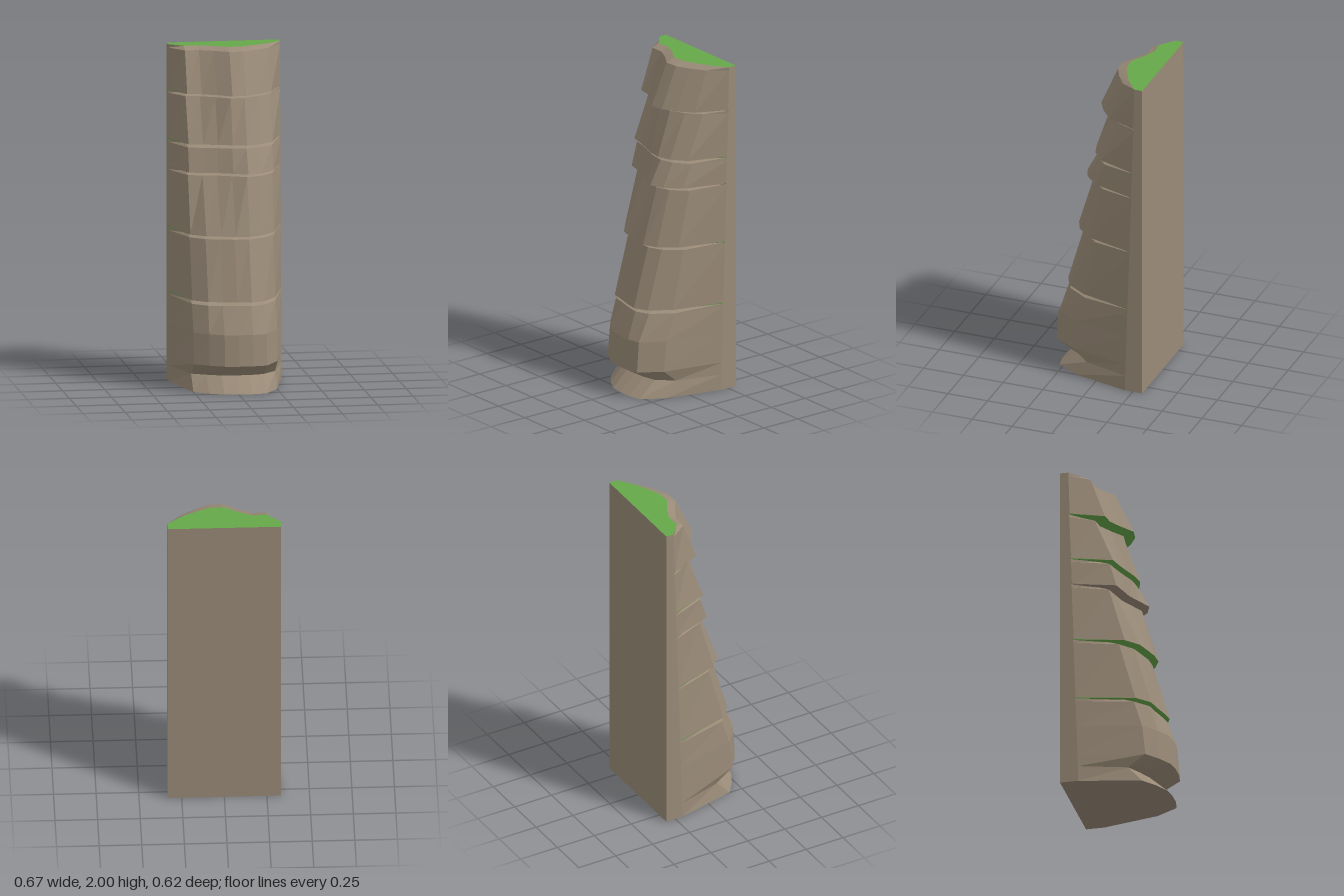
import * as THREE from 'three';

const HALF = 1 / 3, BACK = -0.31;
const rock = new THREE.MeshStandardMaterial({ color: 0x9a8b78 });
const grass = new THREE.MeshStandardMaterial({ color: 0x66a84a });
rock.name = 'rock';
grass.name = 'grass';
rock.flatShading = grass.flatShading = true;

// Front depth of the seven inner columns at the lower lip of each rock layer
const lips = [
  { y: 1.735, z: [-0.06, -0.047, 0, 0.055, 0.045, 0, -0.07], gap: 0.06, under: 'grass' },
  { y: 1.445, z: [-0.01, 0.01, 0.035, 0.063, 0.075, 0.05, -0.02], gap: 0.02, under: 'grass' },
  { y: 1.28, z: [0.01, 0.03, 0.05, 0.09, 0.13, 0.1, 0.015], gap: 0.045, under: 'rock' },
  { y: 0.92, z: [0.06, 0.132, 0.157, 0.18, 0.185, 0.147, 0.05], gap: 0.035, under: 'grass' },
  { y: 0.54, z: [0.125, 0.2, 0.217, 0.238, 0.253, 0.215, 0.09], gap: 0.01, under: 'grass' },
];
const crown = [-0.146, -0.146, -0.108, -0.055, -0.06, -0.1, -0.155];
const crownInset = [-0.19, -0.195, -0.16, -0.112, -0.116, -0.152, -0.195];
const foot = [0.185, 0.25, 0.297, 0.31, 0.31, 0.295, 0.16];
const groove = [0.08, 0.13, 0.17, 0.18, 0.18, 0.16, 0.07];

// A full row of nine points across the front; the end columns lean slightly
function row(y, z, shift = 0) {
  const edge = -0.2 - 0.03 * y - shift * 0.05;
  return [edge, ...z.map((v) => v - shift), edge]
    .map((v, i) => new THREE.Vector3(-HALF + (i * HALF) / 4, y, v));
}

// Collects quads and triangles into a flat-shaded mesh
function meshOf(name, triangles, material) {
  const geometry = new THREE.BufferGeometry().setFromPoints(triangles);
  geometry.computeVertexNormals();
  const mesh = new THREE.Mesh(geometry, material);
  mesh.name = name;
  return mesh;
}

function band(upper, lower) {
  const out = [];
  for (let i = 0; i < upper.length - 1; i++) {
    out.push(lower[i], lower[i + 1], upper[i + 1], lower[i], upper[i + 1], upper[i]);
  }
  return out;
}

// Flat cap between a front row and the straight back edge
function cap(points, up) {
  const back = points.map((p) => new THREE.Vector3(p.x, p.y, BACK));
  return up ? band(back, points) : band(points, back);
}

export function createModel() {
  const model = new THREE.Group();
  model.name = 'cliff';
  const top = row(2, crownInset);
  const rows = [{ p: top }, { p: row(1.98, crown) }];

  // Stacked layers: lip, narrow recessed gap, then the next bevelled shoulder
  for (const { y, z, gap, under } of lips) {
    rows.push({ p: row(y, z) });
    rows.push({ p: row(y - 0.005, z, gap + 0.055), under });
    rows.push({ p: row(y - 0.023, z, gap) });
  }

  // Foot of the cliff with an undercut groove
  const brow = foot.map((v, i) => v - (i === 0 || i === 6 ? 0.02 : 0.014));
  rows.push({ p: row(0.355, brow) }, { p: row(0.17, foot) });
  rows.push({ p: row(0.095, groove) });
  const base = row(0, foot, 0.02);
  rows.push({ p: base });

  const rockFace = [], undersides = [], flanks = [];
  for (let i = 0; i < rows.length - 1; i++) {
    const a = rows[i].p, b = rows[i + 1].p;
    (rows[i + 1].under === 'grass' ? undersides : rockFace).push(...band(a, b));
    // Side walls run from the end columns to the back plane
    for (const k of [0, 8]) {
      const ab = new THREE.Vector3(a[k].x, a[k].y, BACK);
      const bb = new THREE.Vector3(b[k].x, b[k].y, BACK);
      flanks.push(...(k ? band([a[k], ab], [b[k], bb]) : band([ab, a[k]], [bb, b[k]])));
    }
  }
  model.add(meshOf('rockFace', rockFace, rock));
  model.add(meshOf('layerUndersides', undersides, grass));
  model.add(meshOf('sideWalls', flanks, rock));
  model.add(meshOf('grassTop', cap(top, true), grass));
  model.add(meshOf('base', cap(base, false), rock));

  // Flat rear wall
  const rear = new THREE.Mesh(new THREE.PlaneGeometry(2 * HALF, 2), rock);
  rear.name = 'backWall';
  rear.rotation.y = Math.PI;
  rear.position.set(0, 1, BACK);
  model.add(rear);
  return model;
}
